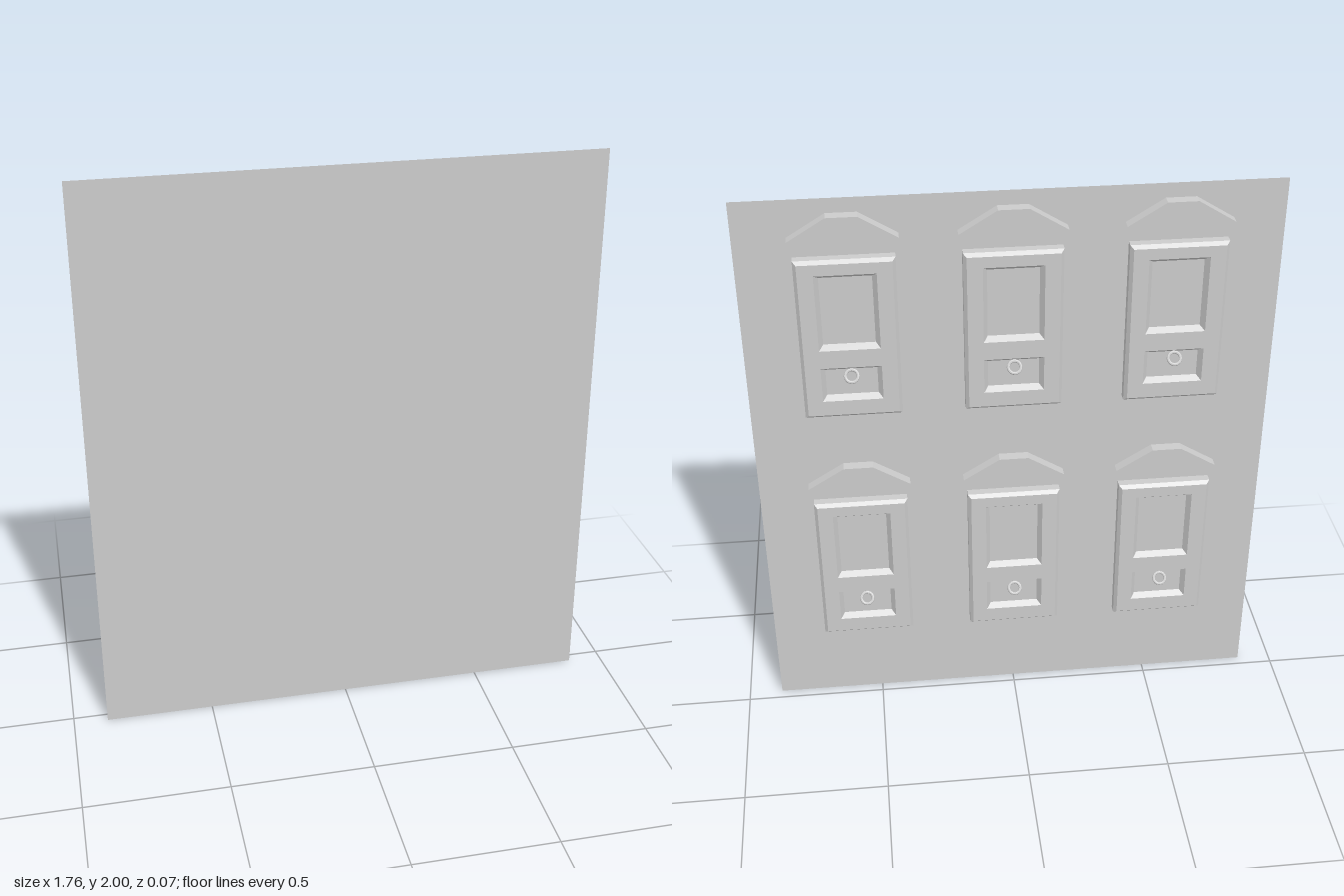
import * as THREE from 'three';
import { mergeGeometries } from 'three/addons/utils/BufferGeometryUtils.js';

const material = new THREE.MeshStandardMaterial({ color: 0xcccccc, flatShading: true });
const sheetMaterial = new THREE.MeshStandardMaterial({ color: 0xcccccc, side: THREE.DoubleSide });

const WALL_Z = 0.035;
const FRONT = 0.041; // door depth measured out from the wall

function mesh(name, geometry, mat = material) {
  const m = new THREE.Mesh(geometry, mat);
  m.name = name;
  return m;
}

// Corners of a rectangle centred on x = 0, counter-clockwise
function corners(r) {
  return [[-r.w, r.y0], [r.w, r.y0], [r.w, r.y1], [-r.w, r.y1]];
}

function inset(r, d) {
  return { w: r.w - d, y0: r.y0 + d, y1: r.y1 - d };
}

// Four sided strip joining rectangle a at depth za to rectangle b at depth zb
function band(a, za, b, zb) {
  const A = corners(a), B = corners(b), pos = [];
  for (let i = 0; i < 4; i++) {
    const j = (i + 1) % 4;
    const a0 = [...A[i], za], a1 = [...A[j], za], b0 = [...B[i], zb], b1 = [...B[j], zb];
    pos.push(...a0, ...a1, ...b1, ...a0, ...b1, ...b0);
  }
  const g = new THREE.BufferGeometry();
  g.setAttribute('position', new THREE.Float32BufferAttribute(pos, 3));
  g.computeVertexNormals();
  return g;
}

function face(r, z, holes = []) {
  const points = (q) => corners(q).map((p) => new THREE.Vector2(...p));
  const shape = new THREE.Shape(points(r));
  holes.forEach((h) => shape.holes.push(new THREE.Path(points(h))));
  const g = new THREE.ShapeGeometry(shape).toNonIndexed();
  g.deleteAttribute('uv');
  return g.translate(0, 0, z);
}

// Chamfered door slab with two bevelled sunken panels
function doorGeometry() {
  const outer = { w: 0.162, y0: 0, y1: 0.575 };
  const front = inset(outer, 0.011);
  const panels = [
    { w: 0.1, y0: 0.255, y1: 0.525 },
    { w: 0.1, y0: 0.065, y1: 0.19 },
  ];
  const parts = [
    band(outer, 0, outer, 0.029),
    band(outer, 0.029, front, FRONT),
    face(front, FRONT, panels),
  ];
  for (const p of panels) {
    const sunk = inset(p, 0.015);
    parts.push(band(p, FRONT, sunk, 0.021), face(sunk, 0.021));
  }
  return mergeGeometries(parts);
}

// Three-sided hood standing above the door
function hoodGeometry() {
  const half = [[0.175, 0.643], [0.05, 0.72]];
  const under = [[0.03, 0.668], [0.13, 0.605]];
  const right = [...under.slice().reverse(), ...half];
  const left = [half[1], half[0], under[1], under[0]].map(([x, y]) => [-x, y]);
  const outline = [...right, ...left, under[0]].map((p) => new THREE.Vector2(...p));
  outline.pop();
  // close along the underside: inner right tip, outer side, inner left, back to start
  const order = [outline[0], outline[2], outline[3], outline[4], outline[5], outline[6], outline[7], outline[1]];
  return new THREE.ExtrudeGeometry(new THREE.Shape(order), { depth: 0.038, bevelEnabled: false });
}

export function createModel() {
  const model = new THREE.Group();
  model.name = 'panelWithDoors';

  // Thin flat backing sheet
  const wall = mesh('wall', new THREE.PlaneGeometry(1.76, 2), sheetMaterial);
  wall.position.set(0, 1, WALL_Z);
  model.add(wall);

  const door = doorGeometry();
  const hood = hoodGeometry();
  const ring = new THREE.TorusGeometry(0.021, 0.0055, 8, 16);
  const peg = new THREE.CylinderGeometry(0.005, 0.005, 0.024, 8).rotateX(Math.PI / 2);

  // Two rows of three doors on the rear of the sheet
  for (const y of [0.3, 1.23]) {
    for (const x of [-0.535, 0, 0.535]) {
      const unit = new THREE.Group();
      unit.name = 'doorUnit';
      unit.add(mesh('door', door), mesh('hood', hood));

      // Tilted ring pull hanging from a small peg
      const pull = mesh('ringPull', ring);
      pull.position.set(0, 0.165, 0.053);
      pull.rotation.x = -0.62;
      const pin = mesh('pullPeg', peg);
      pin.position.set(0, 0.181, 0.032);
      unit.add(pull, pin);

      unit.position.set(x, y, WALL_Z);
      unit.rotation.y = Math.PI;
      model.add(unit);
    }
  }
  return model;
}
